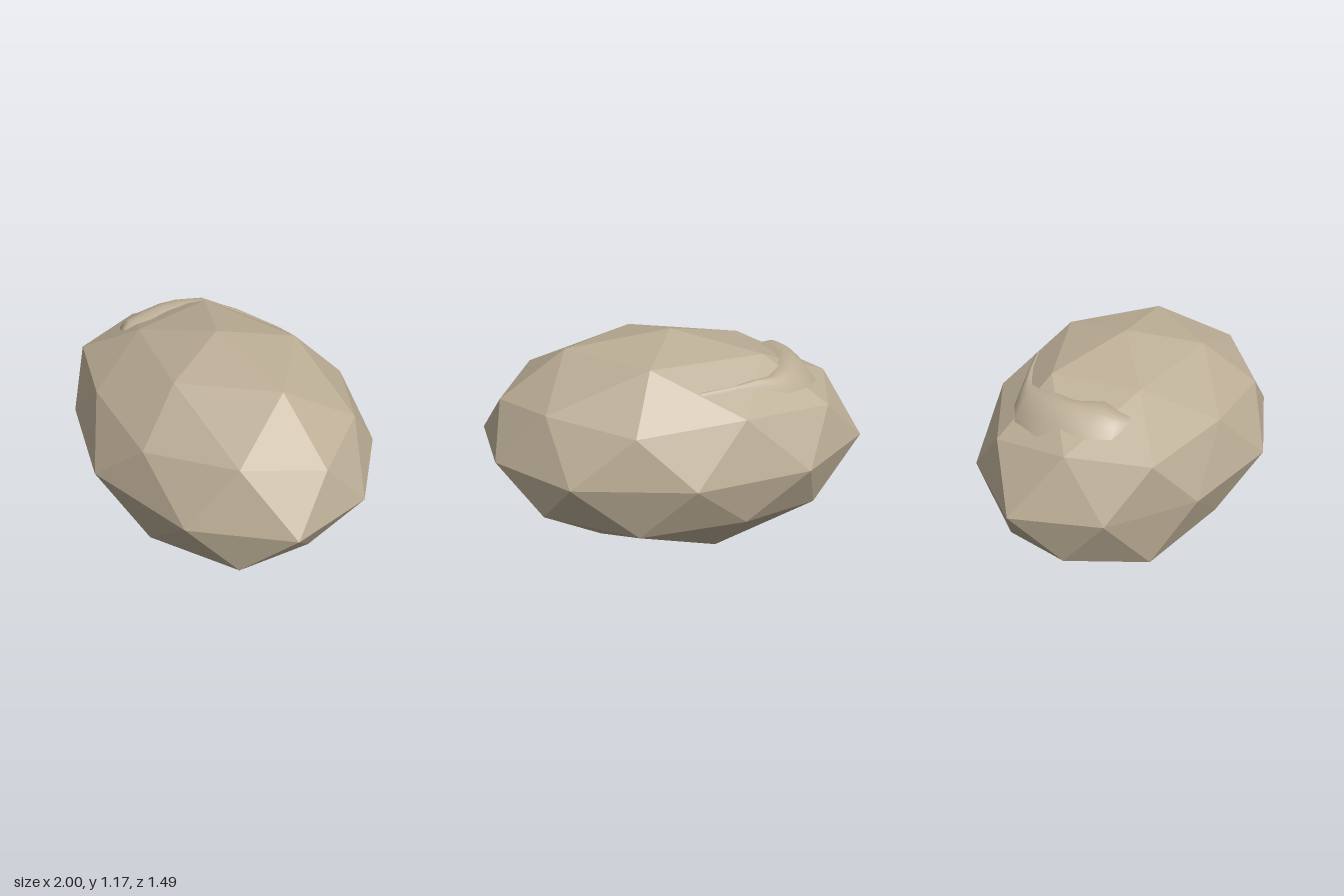
import * as THREE from 'three';

const CENTRE = new THREE.Vector3(0, 0.59, -0.02);
const SCALE = new THREE.Vector3(1.03, 0.583, 0.75);

// Ring of points at one latitude: each radius nudges a point in or out
function ring(start, height, radii) {
  const flat = Math.sqrt(1 - height * height);
  return radii.map((r, i) => {
    const a = THREE.MathUtils.degToRad(start + (i * 360) / radii.length);
    return new THREE.Vector3(flat * Math.cos(a), height, flat * Math.sin(a))
      .multiplyScalar(r).multiply(SCALE).add(CENTRE);
  });
}

// Faceted boulder: two five-sided caps meeting at a ten-point equator
function rockGeometry() {
  const equator = ring(18, 0, [1.02, 1.03, 1.013, 0.932, 0.94, 1.02, 0.995, 0.973, 0.99, 0.965]);
  const positions = [];

  function cap(pole, inner, outer, mid, shift, upper) {
    const tri = (a, b, c) => (upper ? [a, c, b] : [a, b, c]).forEach((p) => positions.push(p.x, p.y, p.z));
    for (let k = 0; k < 5; k++) {
      const n = (k + 1) % 5;
      const e = (i) => equator[(2 * k + shift + i + 10) % 10];
      tri(pole, inner[k], inner[n]);
      tri(inner[k], outer[k], mid[k]);
      tri(inner[k], mid[k], inner[n]);
      tri(inner[n], mid[k], outer[n]);
      tri(outer[k], e(0), mid[k]);
      tri(mid[k], e(0), e(1));
      tri(mid[k], e(1), outer[n]);
      tri(outer[k], e(-1), e(0));
    }
  }

  cap(ring(0, 1, [1])[0],
    ring(0, 0.851, [1.02, 0.995, 0.945, 1.0, 1.02]),
    ring(0, 0.447, [0.975, 0.995, 1.0, 1.0, 0.98]),
    ring(36, 0.526, [1.02, 0.955, 0.97, 0.98, 0.965]), 0, true);
  cap(ring(0, -1, [1.012])[0],
    ring(36, -0.851, [1.005, 0.955, 0.985, 1.03, 0.96]),
    ring(36, -0.447, [1.03, 0.91, 0.98, 0.965, 0.97]),
    ring(72, -0.526, [1.01, 1.0, 1.0, 0.98, 0.92]), 1, false);

  const geometry = new THREE.BufferGeometry();
  geometry.setAttribute('position', new THREE.Float32BufferAttribute(positions, 3));
  geometry.computeVertexNormals();
  return geometry;
}

// Smooth crescent swelling laid over the rock: outer x, z, inner x, z, rise
const RIDGE = [
  [-0.06, -0.52, -0.06, -0.49, 0.004],
  [-0.26, -0.47, -0.22, -0.45, 0.012],
  [-0.41, -0.44, -0.34, -0.40, 0.02],
  [-0.54, -0.42, -0.43, -0.36, 0.03],
  [-0.67, -0.36, -0.50, -0.29, 0.04],
  [-0.755, -0.2, -0.53, -0.18, 0.045],
  [-0.725, -0.095, -0.545, -0.08, 0.045],
  [-0.745, 0.04, -0.51, 0.06, 0.045],
  [-0.70, 0.155, -0.545, 0.14, 0.04],
  [-0.62, 0.2, -0.545, 0.2, 0.005],
];

function ridgeGeometry(rock) {
  const ray = new THREE.Raycaster();
  const down = new THREE.Vector3(0, -1, 0);
  const columns = 8;
  const positions = [];
  const index = [];
  RIDGE.forEach(([ox, oz, ix, iz, rise], row) => {
    for (let c = 0; c <= columns; c++) {
      const t = c / columns;
      const x = THREE.MathUtils.lerp(ox, ix, t);
      const z = THREE.MathUtils.lerp(oz, iz, t);
      ray.set(new THREE.Vector3(x, 3, z), down);
      const hit = ray.intersectObject(rock)[0];
      const ground = hit ? hit.point.y : CENTRE.y;
      positions.push(x, ground - 0.005 + (rise + 0.005) * Math.sin(Math.PI * t), z);
      if (row < RIDGE.length - 1 && c < columns) {
        const a = row * (columns + 1) + c;
        const b = a + columns + 1;
        index.push(a, b, a + 1, b, b + 1, a + 1);
      }
    }
  });
  const geometry = new THREE.BufferGeometry();
  geometry.setAttribute('position', new THREE.Float32BufferAttribute(positions, 3));
  geometry.setIndex(index);
  geometry.computeVertexNormals();
  return geometry;
}

export function createModel() {
  const stone = new THREE.MeshStandardMaterial({ color: 0xbcae96 });
  stone.name = 'stone';

  const group = new THREE.Group();
  group.name = 'boulder';

  const rock = new THREE.Mesh(rockGeometry(), stone);
  rock.name = 'rock';
  group.add(rock);

  const ridge = new THREE.Mesh(ridgeGeometry(rock), stone);
  ridge.name = 'smoothRidge';
  group.add(ridge);

  return group;
}
